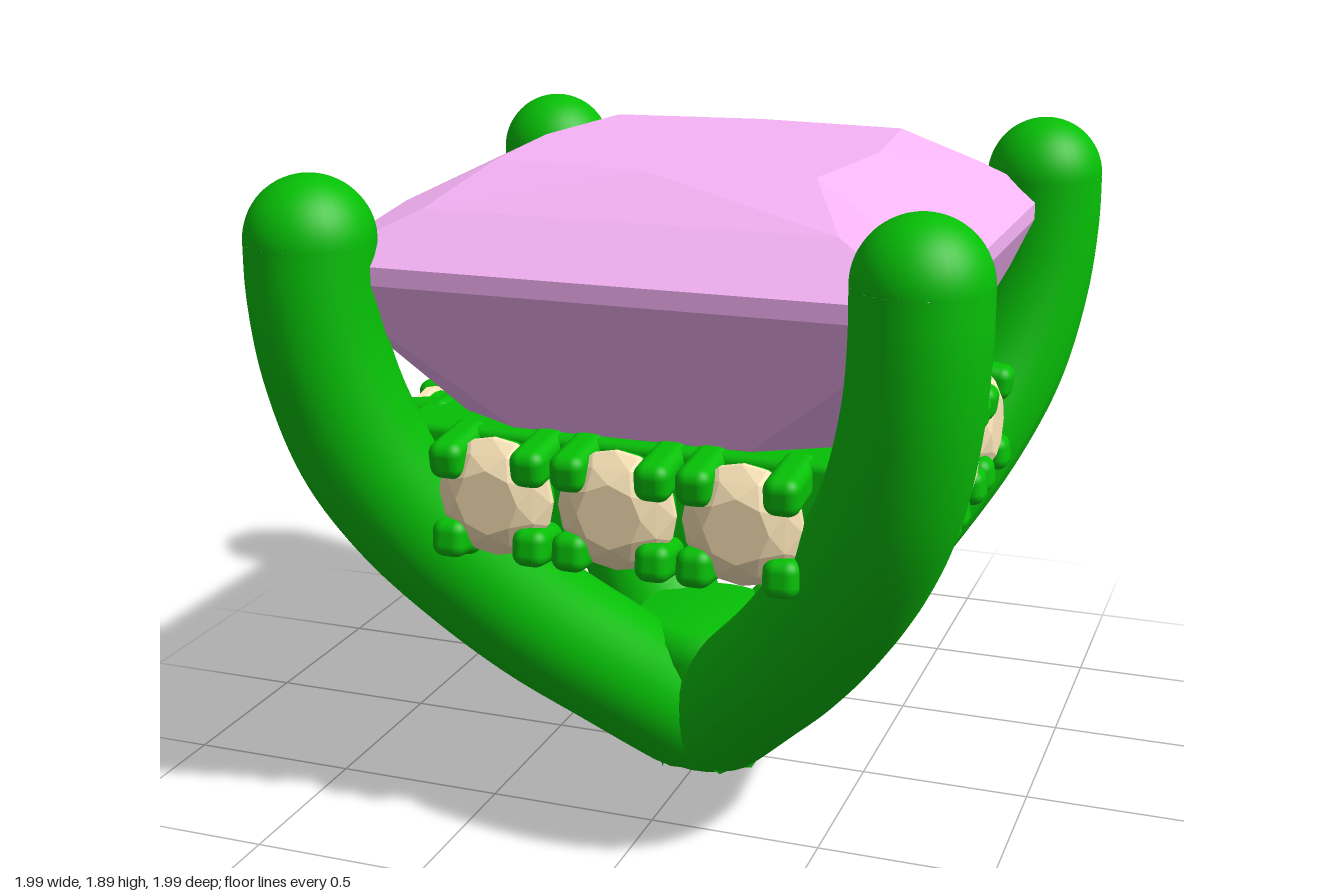
import * as THREE from 'three';
import { RoundedBoxGeometry } from 'three/addons/geometries/RoundedBoxGeometry.js';
import { ConvexGeometry } from 'three/addons/geometries/ConvexGeometry.js';

const V = (x, y, z) => new THREE.Vector3(x, y, z);
const metal = new THREE.MeshStandardMaterial({ color: 0x06c006 });
const plum = new THREE.MeshStandardMaterial({ color: 0xf8b4f8 });
const wheat = new THREE.MeshStandardMaterial({ color: 0xffe8bb });

function add(parent, name, geometry, material, x = 0, y = 0, z = 0) {
  const mesh = new THREE.Mesh(geometry, material);
  mesh.name = name;
  mesh.position.set(x, y, z);
  parent.add(mesh);
  return mesh;
}

// Square faceted stone: convex hull of points repeated on four sides
function squareStone() {
  const side = [
    [0, 1.89, 0.5], [0.45, 1.89, 0.45],                       // table
    [0.57, 1.785, 0.665], [-0.57, 1.785, 0.665],              // crown
    [0.825, 1.655, 0.825], [0.825, 1.605, 0.825],             // girdle
    [0.34, 1.2, 0.64], [-0.34, 1.2, 0.64], [0.53, 1.2, 0.53], // pavilion
    [0, 0.85, 0.37], [0.23, 0.85, 0.23],
  ];
  const points = [V(0, 0.665, 0)];
  for (let k = 0; k < 4; k++) {
    for (const [x, y, z] of side) {
      const [a, b] = [[x, z], [z, -x], [-x, -z], [-z, x]][k];
      points.push(V(a, y, b));
    }
  }
  return new ConvexGeometry(points);
}

// Round brilliant facing +z
function roundStone() {
  const points = [V(0, 0, -0.12)];
  const ring = (n, r, z, turn) => {
    for (let i = 0; i < n; i++) {
      const a = ((i + turn) / n) * Math.PI * 2;
      points.push(V(r * Math.cos(a), r * Math.sin(a), z));
    }
  };
  ring(16, 0.165, -0.015, 0);
  ring(16, 0.165, 0.005, 0);
  ring(8, 0.135, 0.035, 0.5);
  ring(8, 0.09, 0.058, 0);
  return new ConvexGeometry(points);
}

// Curved prong in the +x +z diagonal plane, thicker low down, cut flat at the ground
function prongGeometry() {
  const path = [
    [-0.06, 0.04], [0.06, 0.165], [0.22, 0.345], [0.385, 0.535], [0.53, 0.735],
    [0.65, 0.93], [0.745, 1.14], [0.802, 1.38], [0.82, 1.58], [0.82, 1.715],
  ];
  const curve = new THREE.CatmullRomCurve3(path.map(([d, y]) => V(d, y, d)));
  const rings = 64, sides = 32;
  const geometry = new THREE.TubeGeometry(curve, rings, 0.175, sides);
  const p = geometry.attributes.position;
  const v = V(0, 0, 0);
  for (let i = 0; i < p.count; i++) {
    const centre = curve.getPointAt(Math.floor(i / (sides + 1)) / rings);
    const swell = 1 + 0.08 * (1 - THREE.MathUtils.smoothstep(centre.y, 0.8, 1.5));
    v.fromBufferAttribute(p, i).sub(centre).multiplyScalar(swell).add(centre);
    p.setXYZ(i, v.x, Math.max(0, v.y), v.z);
  }
  geometry.computeVertexNormals();
  return geometry;
}

export function createModel() {
  const model = new THREE.Group();
  model.name = 'stoneSetting';
  add(model, 'centreStone', squareStone(), plum);

  // Core filling the valleys where the prongs meet
  const core = [
    [0, 0], [0.12, 0], [0.15, 0.015], [0.19, 0.08], [0.225, 0.2],
    [0.25, 0.38], [0.24, 0.44], [0.2, 0.475], [0, 0.475],
  ].map(([r, y]) => new THREE.Vector2(r, y));
  add(model, 'baseCore', new THREE.LatheGeometry(core, 40), metal);

  const prong = prongGeometry();
  const tip = new THREE.SphereGeometry(0.175, 32, 16, 0, Math.PI * 2, 0, Math.PI / 2);
  const rail = new RoundedBoxGeometry(1.3, 0.35, 0.3, 3, 0.025);
  const seat = new THREE.CylinderGeometry(0.155, 0.14, 0.1, 24).rotateX(Math.PI / 2);
  const gem = roundStone();
  const claw = new RoundedBoxGeometry(0.1, 0.105, 0.22, 4, 0.035);
  const shoulder = new RoundedBoxGeometry(0.14, 0.11, 0.18, 4, 0.04);

  for (let k = 0; k < 4; k++) {
    const quarter = new THREE.Group();
    quarter.name = 'quarter' + (k + 1);
    quarter.rotation.y = (k * Math.PI) / 2;
    model.add(quarter);

    add(quarter, 'prong', prong, metal);
    add(quarter, 'prongTip', tip, metal, 0.82, 1.715, 0.82);

    // Side rail with three claw-set stones
    add(quarter, 'galleryRail', rail, metal, 0, 1.022, 0.53);
    for (const x of [-0.35, 0, 0.35]) {
      add(quarter, 'stoneSeat', seat, metal, x, 1.03, 0.68);
      add(quarter, 'sideStone', gem, wheat, x, 1.03, 0.74);
      for (const sx of [-1, 1]) {
        for (const sy of [-1, 1]) {
          const c = add(quarter, 'claw', claw, metal, x + sx * 0.118, 1.024 + sy * 0.12, 0.705);
          c.rotation.x = sy * 0.12;
        }
      }
    }
    // Shoulders joining the rail to the prongs
    for (const sx of [-1, 1]) {
      add(quarter, 'railShoulder', shoulder, metal, sx * 0.48, 0.9, 0.66);
    }
  }
  return model;
}
